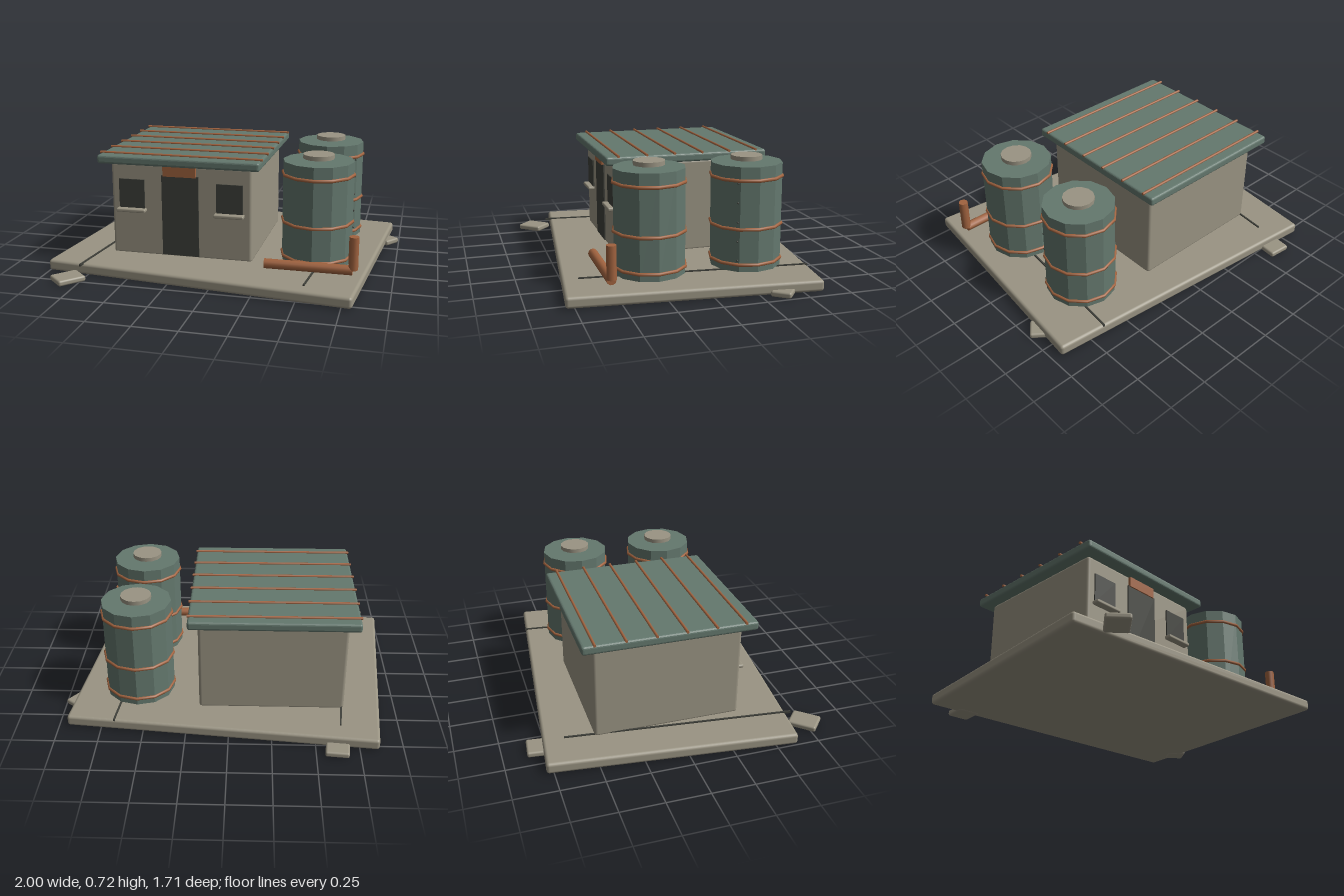
import * as THREE from 'three';
import { RoundedBoxGeometry } from 'three/addons/geometries/RoundedBoxGeometry.js';

const mat = (name, color, flatShading = false) => {
  const m = new THREE.MeshStandardMaterial({ color, flatShading });
  m.name = name;
  return m;
};

export function createModel() {
  const concrete = mat('concrete', 0x9a9483);
  const green = mat('greenMetal', 0x64786e, true);
  const copper = mat('copper', 0xa1633f);
  const dark = mat('darkOpening', 0x3f403a);

  const root = new THREE.Group();
  root.name = 'pumpStation';
  const add = (parent, name, geo, material, x, y, z, rotY = 0) => {
    const mesh = new THREE.Mesh(geo, material);
    mesh.name = name;
    mesh.position.set(x, y, z);
    mesh.rotation.y = rotY;
    parent.add(mesh);
    return mesh;
  };
  const group = (name) => {
    const g = new THREE.Group();
    g.name = name;
    root.add(g);
    return g;
  };
  const box = (w, h, d) => new THREE.BoxGeometry(w, h, d);
  const rounded = (w, h, d, r) => new RoundedBoxGeometry(w, h, d, 2, r);

  // Slightly turned ground slab with two expansion cracks
  const ground = group('ground');
  ground.position.set(-0.025, 0, 0.005);
  ground.rotation.y = -0.1;
  add(ground, 'slab', rounded(1.82, 0.066, 1.42, 0.018), concrete, 0, 0.037, 0);
  for (const x of [-0.685, 0.625])
    add(ground, 'crack', box(0.01, 0.014, 1.33), dark, x, 0.07, 0.015 - 0.02 * Math.sign(x) * 3);

  // Broken concrete chips around the slab
  const chips = group('chips');
  for (const [x, z, w, d, r] of [
    [-0.823, 0.748, 0.135, 0.165, -0.73],
    [-0.623, -0.785, 0.135, 0.15, -0.1],
    [0.918, -0.378, 0.12, 0.115, -0.66],
  ]) add(chips, 'chip', rounded(w, 0.034, d, 0.012), concrete, x, 0.017, z, r);

  // House: walls, door, windows
  const house = group('house');
  const front = 0.38;
  add(house, 'walls', rounded(0.86, 0.57, 0.86, 0.018), concrete, -0.25, 0.345, -0.05);
  add(house, 'door', box(0.225, 0.49, 0.009), dark, -0.253, 0.32, front + 0.003);
  add(house, 'lintel', box(0.2, 0.062, 0.03), copper, -0.255, 0.591, front);
  for (const x of [-0.552, 0.047]) {
    add(house, 'window', box(0.158, 0.18, 0.009), dark, x, 0.44, front + 0.003);
    add(house, 'windowSill', rounded(0.18, 0.022, 0.06, 0.008), concrete, x, 0.344, front + 0.012);
  }

  // Flat roof with raised seams
  add(house, 'roof', rounded(0.975, 0.052, 1.0, 0.014), green, -0.253, 0.655, -0.05);
  const seam = new THREE.CylinderGeometry(0.008, 0.008, 0.985, 8).rotateZ(Math.PI / 2);
  for (let i = 0; i < 6; i++)
    add(house, 'roofSeam', seam, copper, -0.253, 0.684, -0.48 + i * 0.171);

  // Twelve-sided storage tanks with hoops and a lid
  const makeTank = (z) => {
    const tank = group('tank');
    tank.position.set(0.547, 0, z);
    add(tank, 'tankBody', new THREE.CylinderGeometry(0.205, 0.205, 0.598, 12), green, 0, 0.383, 0);
    const hoop = new THREE.TorusGeometry(0.205, 0.01, 8, 12).rotateX(Math.PI / 2);
    for (const y of [0.125, 0.329, 0.605]) add(tank, 'hoop', hoop, copper, 0, y, 0);
    add(tank, 'lid', new THREE.CylinderGeometry(0.09, 0.09, 0.025, 14), concrete, 0, 0.705, 0);
    return tank;
  };
  makeTank(0.278);
  const backTank = makeTank(-0.295);

  // Rivet line on the rear tank
  for (let i = 0; i < 5; i++)
    add(backTank, 'rivet', new THREE.SphereGeometry(0.006, 6, 4), dark, 0.169, 0.15 + i * 0.11, 0.113);

  // Elbow pipe in front of the tanks
  const pipes = group('pipe');
  add(pipes, 'horizontalPipe', new THREE.CylinderGeometry(0.028, 0.028, 0.495, 10).rotateZ(Math.PI / 2),
    copper, 0.537, 0.132, 0.55);
  add(pipes, 'uprightPipe', new THREE.CylinderGeometry(0.028, 0.028, 0.19, 10), copper, 0.788, 0.232, 0.55);

  return root;
}
